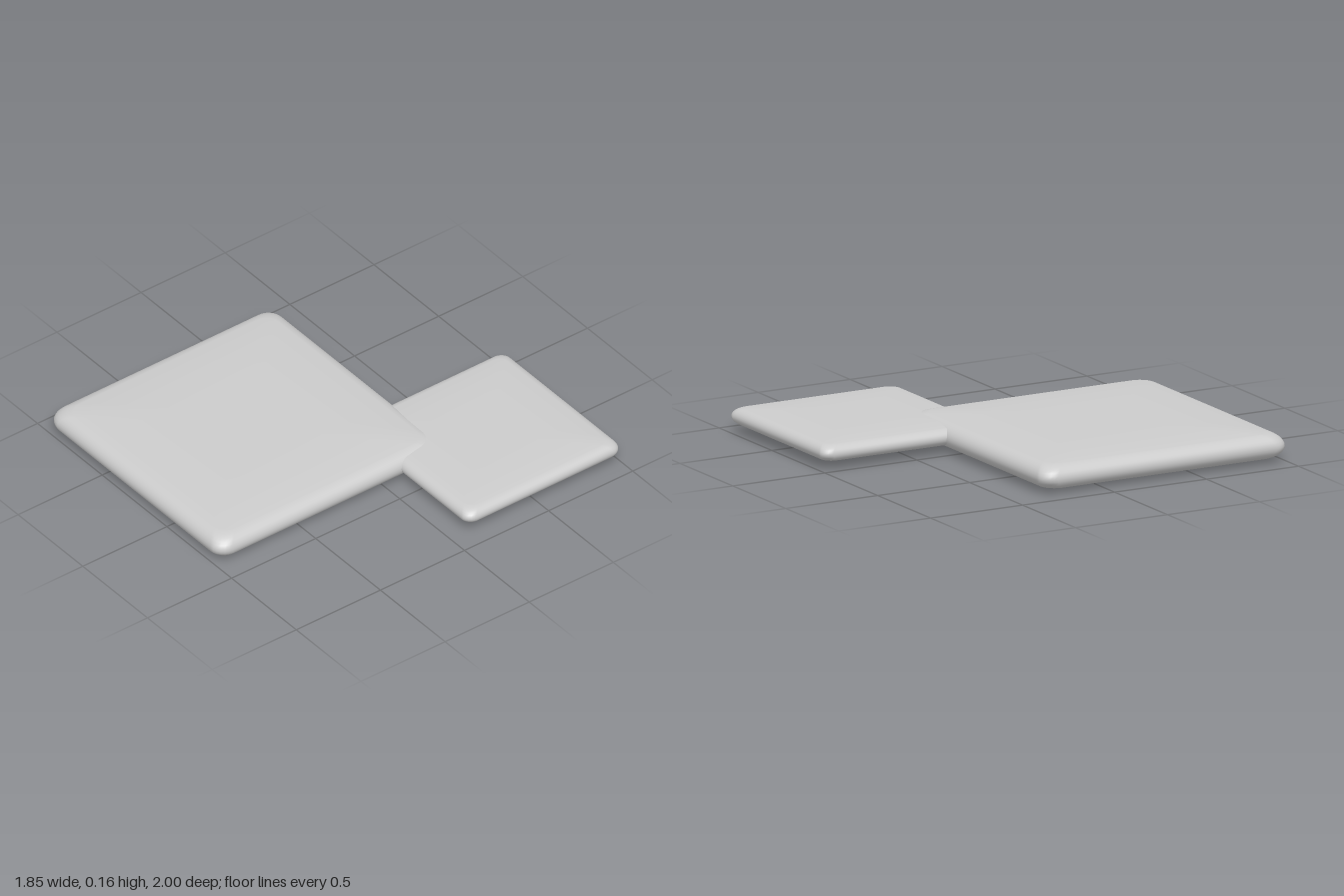
import * as THREE from 'three';

const material = new THREE.MeshStandardMaterial({ color: 0xcccccc });
const CORNER_STEPS = 6;

// Outline of a rounded square, listed counter-clockwise seen from above
function roundedSquare(half, radius) {
  const r = Math.min(radius, half);
  const points = [];
  for (let c = 0; c < 4; c++) {
    const mid = Math.PI / 4 + c * Math.PI / 2;
    const cx = Math.sign(Math.cos(mid)) * (half - r);
    const cz = Math.sign(Math.sin(mid)) * (half - r);
    for (let i = 0; i <= CORNER_STEPS; i++) {
      const a = (c + i / CORNER_STEPS) * Math.PI / 2;
      points.push([cx + r * Math.cos(a), -(cz + r * Math.sin(a))]);
    }
  }
  return points;
}

// Pillow-like slab: rounded rim, gently domed top and bottom
function slab(name, half, halfHeight, corner, rim) {
  // [inset from the edge, height] from the rim to near the centre
  const upper = [];
  const rimHeight = halfHeight * 0.78;
  for (let i = 0; i <= 6; i++) {
    const a = (i / 6) * Math.PI * 0.44;
    upper.push([rim * (1 - Math.cos(a)), rimHeight * Math.sin(a)]);
  }
  const [startInset, startHeight] = upper[upper.length - 1];
  for (let i = 1; i <= 9; i++) {
    const t = i / 10;
    const inset = startInset + (half - startInset) * t * t;
    const s = (inset - startInset) / (half - startInset);
    upper.push([inset, startHeight + (halfHeight - startHeight) * (1 - (1 - s) ** 4)]);
  }
  const lower = upper.slice(1).reverse().map(([inset, y]) => [inset, -y]);
  const profile = [...lower, ...upper];

  const positions = [];
  const index = [];
  for (const [inset, y] of profile) {
    for (const [x, z] of roundedSquare(half - inset, corner)) positions.push(x, y, z);
  }
  const n = 4 * (CORNER_STEPS + 1);
  for (let k = 0; k < profile.length - 1; k++) {
    for (let i = 0; i < n; i++) {
      const a = k * n + i, b = k * n + (i + 1) % n;
      index.push(a, b, b + n, a, b + n, a + n);
    }
  }
  // Close the centre of both faces
  const bottom = positions.length / 3, top = bottom + 1;
  positions.push(0, -halfHeight, 0, 0, halfHeight, 0);
  const last = (profile.length - 1) * n;
  for (let i = 0; i < n; i++) {
    const j = (i + 1) % n;
    index.push(bottom, j, i, top, last + i, last + j);
  }

  const geometry = new THREE.BufferGeometry();
  geometry.setAttribute('position', new THREE.Float32BufferAttribute(positions, 3));
  geometry.setIndex(index);
  geometry.computeVertexNormals();
  const mesh = new THREE.Mesh(geometry, material);
  mesh.name = name;
  return mesh;
}

export function createModel() {
  const group = new THREE.Group();
  group.name = 'overlappingSlabs';

  // Large slab at the front right
  const large = slab('largeSlab', 0.668, 0.078, 0.075, 0.075);
  large.position.set(-0.257, 0.08, 0.332);

  // Small slab at the back left, its corner tucked into the large one
  const small = slab('smallSlab', 0.46, 0.053, 0.052, 0.052);
  small.position.set(0.463, 0.083, -0.54);

  group.add(large, small);
  return group;
}
